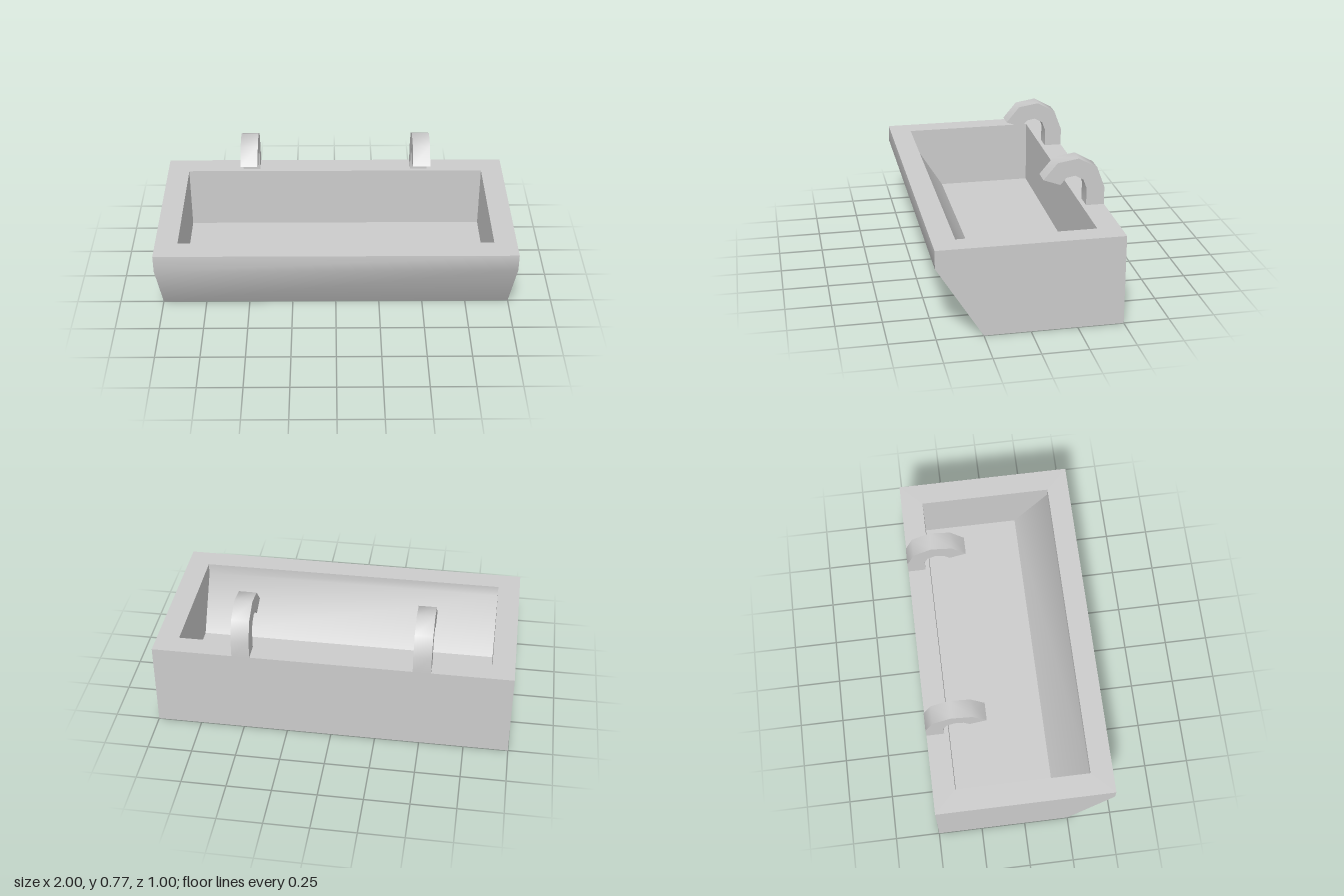
import * as THREE from 'three';
import { toCreasedNormals } from 'three/addons/utils/BufferGeometryUtils.js';

const material = new THREE.MeshStandardMaterial({ color: 0xcccccc });

// Side profiles as [z, y], from the back rim down and round to the front rim
const outer = [[-0.5, 0.5], [-0.5, 0], [0.25, 0], [0.5, 0.4], [0.5, 0.5]];
const inner = [[-0.375, 0.5], [-0.375, 0.125], [0.18, 0.125], [0.375, 0.435], [0.375, 0.5]];

// Hook outline as [z, y]
const hookOutline = [
  [-0.5, 0.5], [-0.5, 0.6], [-0.457, 0.715], [-0.354, 0.773], [-0.237, 0.754], [-0.16, 0.662],
  [-0.254, 0.628], [-0.287, 0.667], [-0.336, 0.676], [-0.381, 0.65], [-0.4, 0.6], [-0.4, 0.5],
];

function createTrayGeometry() {
  const positions = [];
  const tri = (...corners) => corners.forEach((c) => positions.push(...c));
  const quad = (a, b, c, d) => { tri(a, b, c); tri(a, c, d); };

  // Walls, floor and ends of one skin; the cavity is turned inside out
  const addSkin = (profile, half, inward) => {
    const face = (...c) => {
      if (inward) c.reverse();
      if (c.length === 4) quad(...c); else tri(...c);
    };
    const at = (i, x) => [x, profile[i][1], profile[i][0]];
    for (let i = 0; i < profile.length - 1; i++) {
      face(at(i, -half), at(i, half), at(i + 1, half), at(i + 1, -half));
      if (i > 0) {
        face(at(0, half), at(i + 1, half), at(i, half));
        face(at(0, -half), at(i, -half), at(i + 1, -half));
      }
    }
  };
  addSkin(outer, 1, false);
  addSkin(inner, 0.875, true);

  // Flat rim joining the two skins
  const corners = (x, z) => [[-x, 0.5, -z], [-x, 0.5, z], [x, 0.5, z], [x, 0.5, -z]];
  const o = corners(1, 0.5), n = corners(0.875, 0.375);
  for (let i = 0; i < 4; i++) {
    const j = (i + 1) % 4;
    quad(o[i], o[j], n[j], n[i]);
  }

  const geometry = new THREE.BufferGeometry();
  geometry.setAttribute('position', new THREE.Float32BufferAttribute(positions, 3));
  return toCreasedNormals(geometry, 0.7);
}

function createHookGeometry() {
  const shape = new THREE.Shape(hookOutline.map(([z, y]) => new THREE.Vector2(z, y)));
  const geometry = new THREE.ExtrudeGeometry(shape, { depth: 0.1, bevelEnabled: false });
  geometry.translate(0, 0, -0.05).rotateY(-Math.PI / 2);
  return toCreasedNormals(geometry, 0.8);
}

export function createModel() {
  const group = new THREE.Group();
  group.name = 'hangingTrough';

  const tray = new THREE.Mesh(createTrayGeometry(), material);
  tray.name = 'tray';
  group.add(tray);

  // Pair of hooks on the back rim
  const hookGeometry = createHookGeometry();
  for (const side of [-1, 1]) {
    const hook = new THREE.Mesh(hookGeometry, material);
    hook.name = side > 0 ? 'leftHook' : 'rightHook';
    hook.position.x = side * 0.5;
    group.add(hook);
  }
  return group;
}
